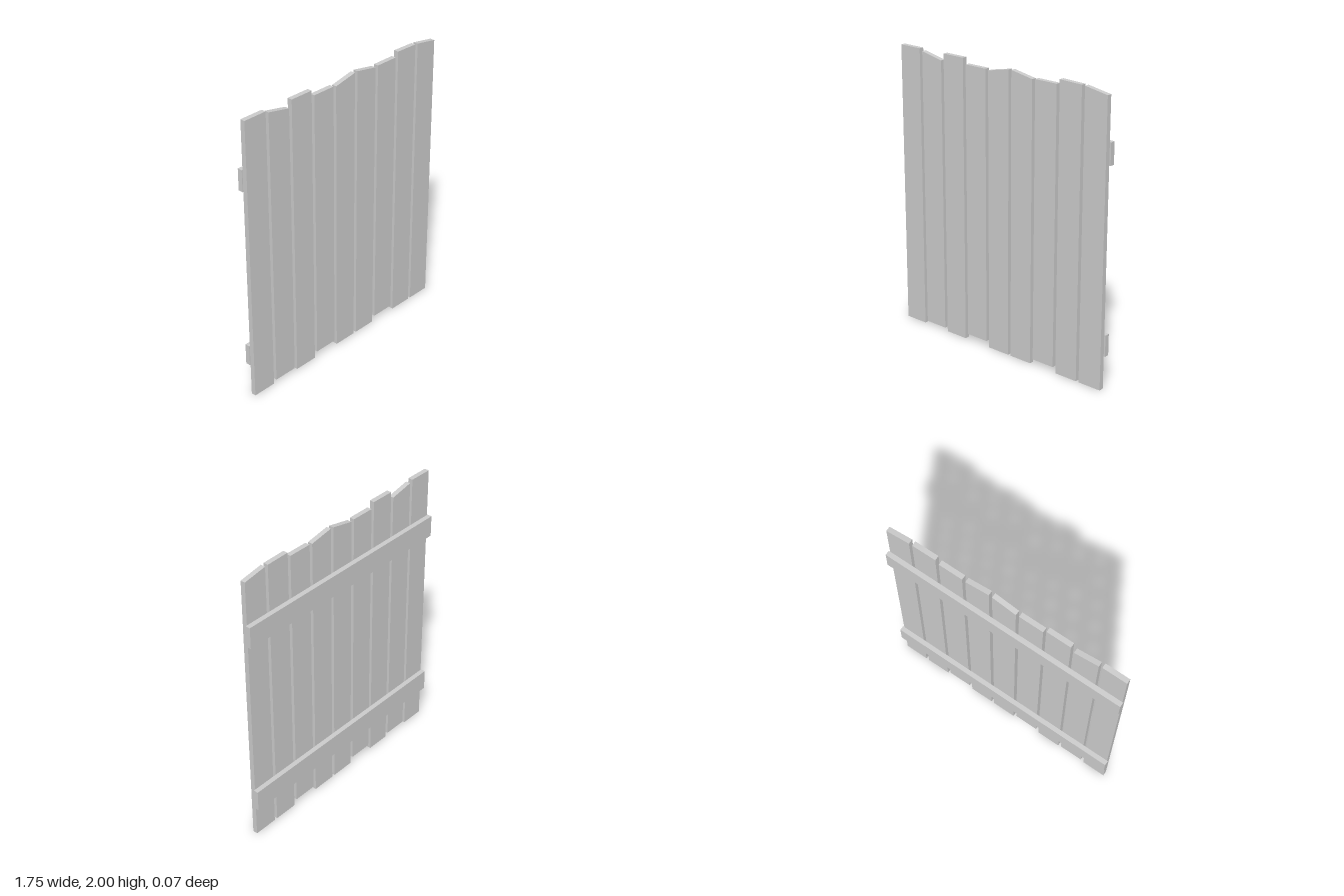
import * as THREE from 'three';

const PLANK_WIDTH = 0.172, PLANK_PITCH = 0.1952, THICKNESS = 0.034;

// Per plank, from -x to +x: [bottom, top at -x edge, top at +x edge]
const PLANKS = [
  [0, 2, 2], [0.02, 1.985, 1.95], [0, 2, 2],
  [0.04, 1.96, 1.96], [0, 1.953, 1.988], [0, 1.99, 1.96],
  [0.037, 1.965, 1.965], [0, 1.998, 1.994], [0, 1.992, 1.964],
];

export function createModel() {
  const fence = new THREE.Group();
  fence.name = 'fencePanel';
  const wood = new THREE.MeshStandardMaterial({ color: 0xcccccc, flatShading: true });

  // Upright planks with individually cut ends
  PLANKS.forEach(([bottom, topA, topB], i) => {
    const h = PLANK_WIDTH / 2;
    const outline = new THREE.Shape([
      new THREE.Vector2(-h, bottom), new THREE.Vector2(h, bottom),
      new THREE.Vector2(h, topB), new THREE.Vector2(-h, topA),
    ]);
    const geometry = new THREE.ExtrudeGeometry(outline, { depth: THICKNESS, bevelEnabled: false });
    const plank = new THREE.Mesh(geometry, wood);
    plank.name = `plank${i + 1}`;
    plank.position.x = (i - (PLANKS.length - 1) / 2) * PLANK_PITCH - 0.002;
    fence.add(plank);
  });

  // Horizontal rails across the back
  for (const [name, y] of [['lowerRail', 0.306], ['upperRail', 1.59]]) {
    const rail = new THREE.Mesh(new THREE.BoxGeometry(1.75, 0.15, THICKNESS), wood);
    rail.name = name;
    rail.position.set(0, y, -THICKNESS / 2);
    fence.add(rail);
  }
  return fence;
}
